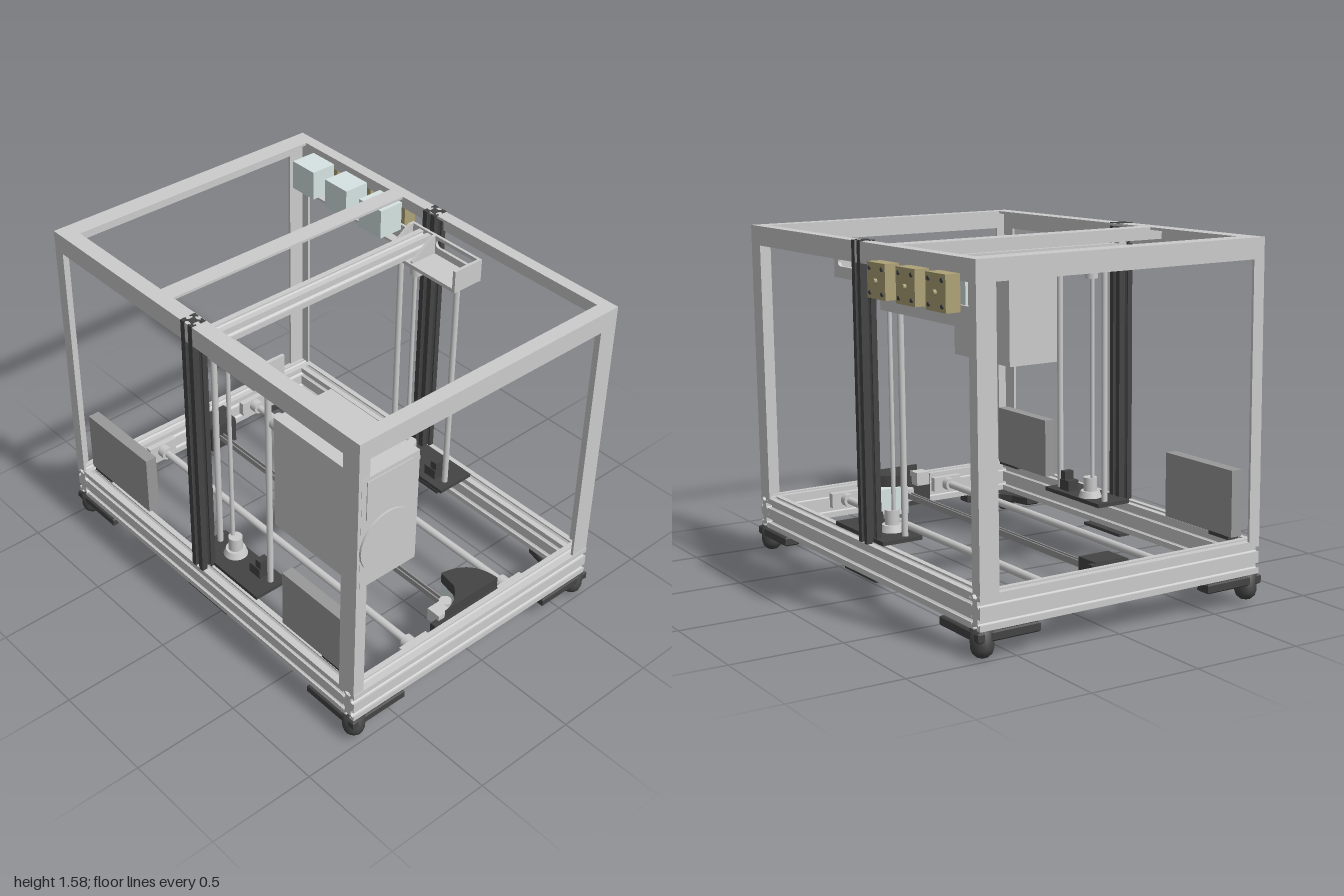
import * as THREE from 'three';

const mat = (color, side = THREE.FrontSide) => new THREE.MeshStandardMaterial({ color, side });
const GREY = mat(0xcccccc), PANEL = mat(0x999999), DARK = mat(0x444444);
const STEEL = mat(0xd6e4e2), BRASS = mat(0xaea277);
const CELL = 0.073; // one cell of the slotted profile
const X = [1, 0, 0], Y = [0, 1, 0], Z = [0, 0, 1];

export function createModel() {
  const model = new THREE.Group();
  const body = new THREE.Group();
  body.name = 'machine';
  body.rotation.x = -0.0143; // the whole machine leans slightly back
  model.add(body);

  const add = (name, geo, material = GREY, x = 0, y = 0, z = 0) => {
    const m = new THREE.Mesh(geo, material);
    m.name = name;
    m.position.set(x, y, z);
    body.add(m);
    return m;
  };
  // box given by its extents
  const slab = (name, x0, x1, y0, y1, z0, z1, material) =>
    add(name, new THREE.BoxGeometry(x1 - x0, y1 - y0, z1 - z0), material, (x0 + x1) / 2, (y0 + y1) / 2, (z0 + z1) / 2);
  // turn a geometry built along z onto another axis
  const along = (geo, axis) => {
    if (axis === X) geo.rotateY(Math.PI / 2);
    if (axis === Y) geo.rotateX(-Math.PI / 2);
    return geo;
  };
  const rod = (name, axis, r, len, x, y, z, material, r2 = r) =>
    add(name, along(new THREE.CylinderGeometry(r2, r, len, 24).rotateX(Math.PI / 2), axis), material, x, y, z);

  // slotted profile: every cell of every side carries a T-shaped groove
  const profile = (name, axis, cells, len, x, y, z, material) => {
    const w = CELL, h = CELL * cells, pts = [];
    const sides = [[-w / 2, -h / 2, 1, 0, 1], [w / 2, -h / 2, 0, 1, cells], [w / 2, h / 2, -1, 0, 1], [-w / 2, h / 2, 0, -1, cells]];
    for (const [sx, sy, dx, dy, n] of sides) {
      const put = (a, d) => pts.push(new THREE.Vector2(sx + dx * a - dy * d, sy + dy * a + dx * d));
      put(0, 0);
      for (let i = 0; i < n; i++) {
        const c = (i + 0.5) * CELL;
        for (const [a, d] of [[-0.011, 0], [-0.011, 0.007], [-0.02, 0.007], [-0.009, 0.02], [0.009, 0.02], [0.02, 0.007], [0.011, 0.007], [0.011, 0]]) put(c + a, d);
      }
    }
    const geo = new THREE.ExtrudeGeometry(new THREE.Shape(pts), { depth: len, bevelEnabled: false });
    return add(name, along(geo.translate(0, 0, -len / 2), axis), material, x, y, z);
  };

  // extents of the frame
  const L = -0.99, R = 0.985, F = 0.75, B = -0.66, T = 1.57, Y0 = 0.127, Y1 = 0.272, t = 0.012;
  const midZ = (F + B) / 2, midY = (Y0 + Y1) / 2;

  // base frame of double profiles
  for (const s of [-1, 1]) profile('baseSideProfile', Z, 2, F - B, s * 0.952, midY, midZ);
  for (const z of [F - CELL / 2, B + CELL / 2]) profile('baseCrossProfile', X, 2, 1.83, 0, midY, z);

  // centre gantry: two dark uprights and a top rail
  for (const z of [F - CELL / 2 + 0.002, B + CELL / 2 - 0.002]) profile('gantryUpright', Y, 1, T - Y1 + 0.003, -0.05, (T + Y1) / 2 + 0.0015, z, DARK);
  profile('gantryTopRail', Z, 1, F - B - 2 * CELL, -0.053, 1.447, midZ);

  // corner posts of angle section
  for (const [px, dx, wx] of [[L, 1, 0.055], [R, -1, 0.09]]) {
    for (const [pz, dz, wz] of [[F, -1, 0.055], [B, 1, 0.09]]) {
      const range = (p, d) => [Math.min(p, p + d), Math.max(p, p + d)];
      slab('cornerPostFace', ...range(px, dx * wx), Y1, T - 0.09, ...range(pz, dz * t));
      slab('cornerPostSide', ...range(px, dx * t), Y1, T - 0.09, ...range(pz + dz * t, dz * (wz - t)));
    }
  }

  // top beams of angle section
  slab('topLeftBeamFlange', L, L + 0.09, T - t, T, B, F);
  slab('topRightBeamFlange', R - 0.065, R, T - t, T, B, F);
  slab('topFrontBeamFlange', L + 0.09, R - 0.065, T - t, T, F - 0.075, F);
  slab('topBackBeamFlange', L + 0.09, R - 0.065, T - t, T, B, B + 0.055);
  slab('topSideBeamWeb', L, L + t, T - 0.09, T - t, B, F);
  slab('topSideBeamWeb', R - t, R, T - 0.09, T - t, B, F);
  slab('topFrontBeamWeb', L + t, R - t, T - 0.09, T - t, F - t, F);
  slab('topBackBeamWeb', L + t, R - t, T - 0.09, T - t, B, B + t);
  slab('topMiddleBeamFlange', -0.32, -0.235, T - t, T, B + 0.055, F - 0.075);
  slab('topMiddleBeamWeb', -0.32, -0.32 + t, T - 0.055, T - t, B + t, F - t);

  // feeder motors on their rail at the back
  slab('feederRailWeb', -0.935, -0.25, 1.303, 1.388, B, B + t);
  slab('feederRailFlange', -0.935, -0.25, 1.303, 1.303 + t, B + t, B + 0.055);
  for (const x of [-0.822, -0.592, -0.357]) {
    slab('feederMotor', x - 0.074, x + 0.074, 1.363, 1.505, -0.648, -0.52, STEEL);
    slab('feederGearbox', x - 0.074, x + 0.074, 1.363, 1.51, -0.735, -0.67, BRASS);
    rod('feederShaft', Z, 0.011, 0.1, x, 1.436, -0.698, BRASS);
    for (const sx of [-1, 1]) for (const sy of [-1, 1]) rod('gearboxBolt', Z, 0.009, 0.006, x + sx * 0.05, 1.436 + sy * 0.05, -0.737, DARK);
  }

  // vertical drives, front and back
  const wallShape = new THREE.Shape([[-0.145, 1.385], [0.285, 1.385], [0.285, 1.492], [-0.145, 1.492]].map(p => new THREE.Vector2(...p)));
  const slot = new THREE.Path();
  slot.absarc(0.035, 1.455, 0.02, Math.PI / 2, Math.PI * 1.5);
  slot.absarc(0.23, 1.455, 0.02, -Math.PI / 2, Math.PI / 2);
  slot.closePath();
  wallShape.holes.push(slot);
  const gussetShape = new THREE.Shape([[0, 0], [0.15, 0], [0.15, 0.025], [0.03, 0.107], [0, 0.107]].map(p => new THREE.Vector2(...p)));
  for (const [s, wall, inner, rz] of [[1, 0.675, 0.52, 0.575], [-1, -0.59, -0.43, -0.49]]) {
    const z0 = Math.min(wall, inner), z1 = Math.max(wall, inner);
    slab('driveBracketFloor', -0.145, 0.285, 1.385, 1.402, z0, z1);
    add('driveBracketWall', new THREE.ExtrudeGeometry(wallShape, { depth: 0.014, bevelEnabled: false, curveSegments: 10 }), GREY, 0, 0, s > 0 ? wall - 0.014 : wall);
    slab('driveBracketEnd', 0.27, 0.285, 1.402, 1.492, z0, z1);
    for (const x of [-0.145, -0.002]) {
      const g = new THREE.ExtrudeGeometry(gussetShape, { depth: 0.014, bevelEnabled: false });
      g.rotateY(s * Math.PI / 2).translate(s > 0 ? 0 : 0.014, 0, 0);
      add('driveBracketGusset', g, GREY, x, 1.385, wall);
    }
    for (const x of [-0.112, 0.243]) rod('verticalGuideRod', Y, 0.014, 1.1, x, 0.84, rz);
    rod('verticalScrew', Y, 0.01, 1.1, -0.018, 0.84, rz);
    rod('screwCollar', Y, 0.03, 0.06, -0.01, 1.352, rz);
    slab('drivePlate', -0.15, 0.285, Y1, 0.29, s > 0 ? 0.515 : -0.62, s > 0 ? 0.69 : -0.425, DARK);
    rod('couplingBase', Y, 0.055, 0.03, 0.0, 0.305, rz, GREY, 0.045);
    rod('coupling', Y, 0.032, 0.07, 0.0, 0.35, rz);
    slab('switchBase', 0.135, 0.205, 0.29, 0.34, rz - 0.03, rz + 0.03, DARK);
    slab('switchHead', 0.17, 0.205, 0.34, 0.38, rz - 0.025, rz + 0.025, DARK);
    slab('underPlate', -0.14, 0.14, 0.113, Y0, s > 0 ? 0.64 : -0.655, s > 0 ? 0.745 : -0.55, DARK);
  }

  // bed guide rods in clamp blocks
  for (const z of [-0.253, 0.324]) {
    rod('bedGuideRod', X, 0.018, 1.8, 0, 0.215, z);
    for (const s of [-1, 1]) {
      slab('rodFlange', s * 0.9 - 0.015, s * 0.9 + 0.015, 0.18, 0.25, z - 0.077, z + 0.077);
      rod('rodSocket', X, 0.032, 0.06, s * 0.875, 0.215, z);
    }
  }

  // belt drive of the bed: motor, curved mount, pulley, belt and idler
  slab('bedMotor', 0.73, 0.88, 0.14, 0.275, -0.152, 0.005, STEEL);
  const arc = new THREE.Shape();
  arc.moveTo(0.91, 0.16);
  arc.quadraticCurveTo(0.9, 0.07, 0.82, 0.02);
  arc.lineTo(0.728, 0.005);
  arc.quadraticCurveTo(0.75, -0.155, 0.91, -0.16);
  arc.closePath();
  const mount = new THREE.ExtrudeGeometry(arc, { depth: 0.055, bevelEnabled: false, curveSegments: 16 });
  add('bedMotorMount', mount.rotateX(Math.PI / 2), DARK, 0, 0.332, 0);
  slab('bedMotorMountWall', 0.885, 0.915, 0.13, 0.28, -0.16, 0.22, DARK);
  rod('beltPulley', Y, 0.028, 0.06, 0.8, 0.215, 0.045);
  for (const z of [0.026, 0.046]) slab('belt', -0.79, 0.8, 0.2, 0.228, z, z + 0.006, PANEL);
  slab('idlerBlock', -0.905, -0.785, 0.15, 0.285, -0.05, 0.1, DARK);
  slab('idlerFlange', -0.915, -0.885, 0.14, 0.28, -0.075, 0.11, DARK);
  slab('endSwitch', 0.83, 0.9, 0.24, 0.305, 0.115, 0.185);

  // power supply with vent panel, fan and plug
  slab('powerSupply', 0.475, 0.986, 0.855, 1.395, 0.44, 0.735);
  slab('powerSupplyPanel', 0.986, 0.99, 1.19, 1.377, 0.475, 0.71);
  rod('powerSupplyFan', X, 0.143, 0.012, 0.989, 1.04, 0.598);
  rod('powerSupplyPlug', X, 0.037, 0.042, 0.456, 1.335, 0.69);

  // front housings
  slab('leftHousing', -0.93, -0.48, 0.287, 0.58, 0.645, 0.7, PANEL);
  slab('leftHousingFoot', -0.91, -0.78, Y1, 0.288, 0.645, 0.7, DARK);
  slab('rightHousing', 0.475, 0.9, 0.283, 0.567, 0.645, 0.7, PANEL);
  slab('rightHousingFoot', 0.73, 0.89, Y1, 0.284, 0.645, 0.7, DARK);

  // feet: domed posts with L-shaped corner plates
  const domePts = [[0, 0], [0.025, 0.006], [0.041, 0.021], [0.048, 0.042], [0.049, 0.118], [0, 0.118]].map(p => new THREE.Vector2(...p));
  for (const sx of [-1, 1]) for (const sz of [-1, 1]) {
    const x = sx * 0.95, z = sz > 0 ? 0.712 : -0.628;
    add('foot', new THREE.LatheGeometry(domePts, 28), DARK, x, 0.009, z);
    const plate = new THREE.Shape([[-0.04, -0.04], [0.24, -0.04], [0.24, 0.02], [0.14, 0.045], [0.08, 0.08], [0.045, 0.14], [0.02, 0.24], [-0.04, 0.24]]
      .map(([a, b]) => new THREE.Vector2(-sx * a, sz * b)));
    const geo = new THREE.ExtrudeGeometry(plate, { depth: 0.03, bevelEnabled: true, bevelSize: 0.006, bevelThickness: 0.006, bevelSegments: 1 });
    add('footPlate', geo.rotateX(-Math.PI / 2), DARK, x, 0.088, z);
  }

  return model;
}
